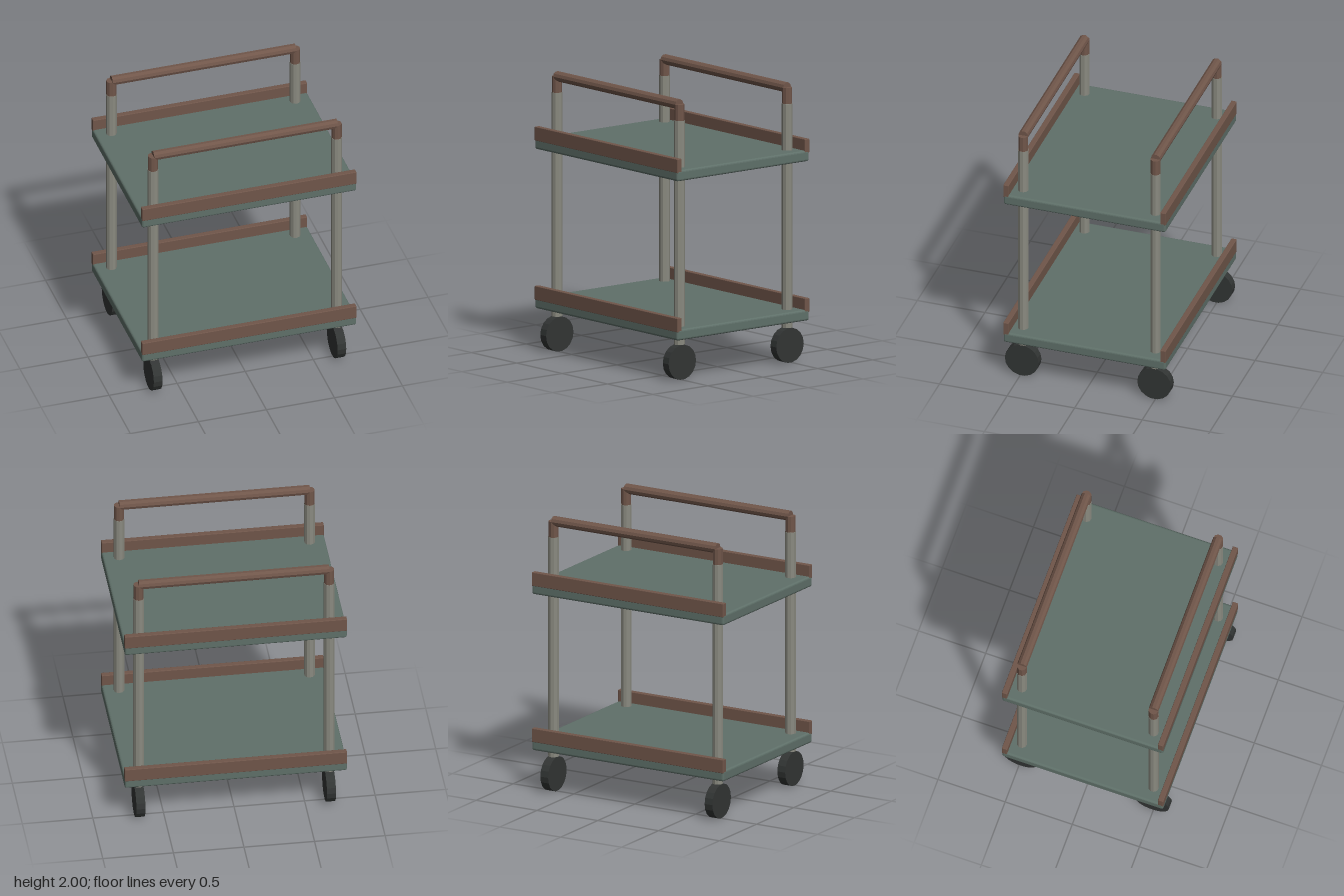
import * as THREE from 'three';
import { RoundedBoxGeometry } from 'three/addons/geometries/RoundedBoxGeometry.js';

const paint = (color) => new THREE.MeshStandardMaterial({ color, flatShading: true });

export function createModel() {
  const cart = new THREE.Group();
  cart.name = 'servingCart';
  const teal = paint(0x5f7069);
  const wood = paint(0x70564a);
  const metal = paint(0x8a8a80);
  const rubber = paint(0x323534);
  const postX = 0.675, postZ = 0.49;

  function add(name, geometry, material, x, y, z) {
    const mesh = new THREE.Mesh(geometry, material);
    mesh.name = name;
    mesh.position.set(x, y, z);
    cart.add(mesh);
    return mesh;
  }

  // Two shelves, each with a wooden rail along the front and back
  const shelfGeo = new RoundedBoxGeometry(1.576, 0.078, 1.2, 2, 0.015);
  const railGeo = new RoundedBoxGeometry(1.574, 0.1, 0.04, 1, 0.004);
  for (const [level, y] of [['lower', 0.302], ['upper', 1.44]]) {
    add(level + 'Shelf', shelfGeo, teal, 0, y + 0.039, 0);
    for (const side of [1, -1]) {
      add(level + (side > 0 ? 'FrontRail' : 'BackRail'), railGeo, wood, 0, y + 0.11, side * 0.581);
    }
  }

  // Posts with wooden caps and wheels at the four corners
  const postGeo = new THREE.CylinderGeometry(0.038, 0.038, 1.6, 10);
  const capGeo = new THREE.CylinderGeometry(0.036, 0.036, 0.115, 10);
  const wheelGeo = new THREE.CylinderGeometry(0.125, 0.125, 0.064, 18).rotateZ(Math.PI / 2);
  const barGeo = new THREE.CylinderGeometry(0.036, 0.036, postX * 2, 10).rotateZ(Math.PI / 2);
  for (const sz of [1, -1]) {
    const end = sz > 0 ? 'front' : 'back';
    for (const sx of [1, -1]) {
      const corner = end + (sx > 0 ? 'Left' : 'Right');
      add(corner + 'Post', postGeo, metal, sx * postX, 1.05, sz * postZ);
      add(corner + 'HandleCap', capGeo, wood, sx * postX, 1.9075, sz * postZ);
      add(corner + 'Wheel', wheelGeo, rubber, sx * postX, 0.125, sz * postZ);
    }
    // Handle bar joining the two posts
    add(end + 'HandleBar', barGeo, wood, 0, 1.964, sz * postZ);
  }
  return cart;
}
